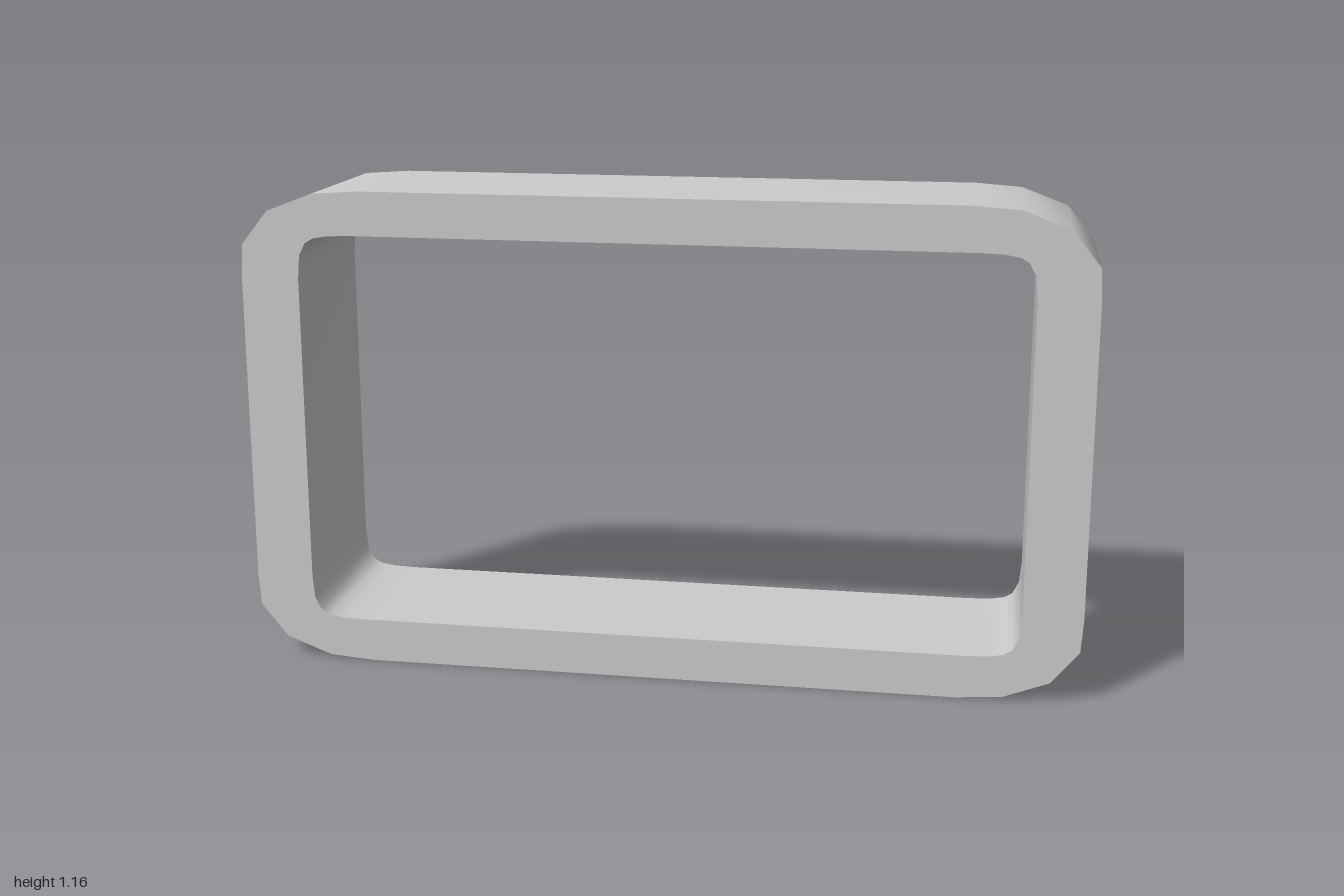
import * as THREE from 'three';
import { toCreasedNormals } from 'three/addons/utils/BufferGeometryUtils.js';

const HEIGHT = 1.16, DEPTH = 0.41;

// Mirror one corner (listed from side to top, relative to the centre) into a closed counter-clockwise loop.
function loopFromCorner(corner) {
  const flip = (sx, sy) => corner.map(([x, y]) => new THREE.Vector2(x * sx, y * sy));
  return [
    ...flip(1, 1),
    ...flip(-1, 1).reverse(),
    ...flip(-1, -1),
    ...flip(1, -1).reverse(),
  ];
}

export function createModel() {
  const group = new THREE.Group();
  group.name = 'beltLoop';

  // Outer outline with broad faceted corners
  const outline = new THREE.Shape(loopFromCorner([
    [1, 0.37], [0.995, 0.45], [0.93, 0.53], [0.82, 0.572], [0.71, 0.58],
  ]));

  // Opening with tighter corners; thicker walls at the sides
  outline.holes.push(new THREE.Path(loopFromCorner([
    [0.86, 0.37], [0.855, 0.425], [0.84, 0.455], [0.82, 0.467], [0.785, 0.473], [0.73, 0.475],
  ]).reverse()));

  // Straight extrusion, smooth around the corners and sharp at the rims
  const extruded = new THREE.ExtrudeGeometry(outline, { depth: DEPTH, bevelEnabled: false });
  extruded.translate(0, HEIGHT / 2, -DEPTH / 2);
  const frame = new THREE.Mesh(
    toCreasedNormals(extruded, 0.8),
    new THREE.MeshStandardMaterial({ color: 0xcccccc }),
  );
  frame.name = 'roundedFrame';
  group.add(frame);
  return group;
}
